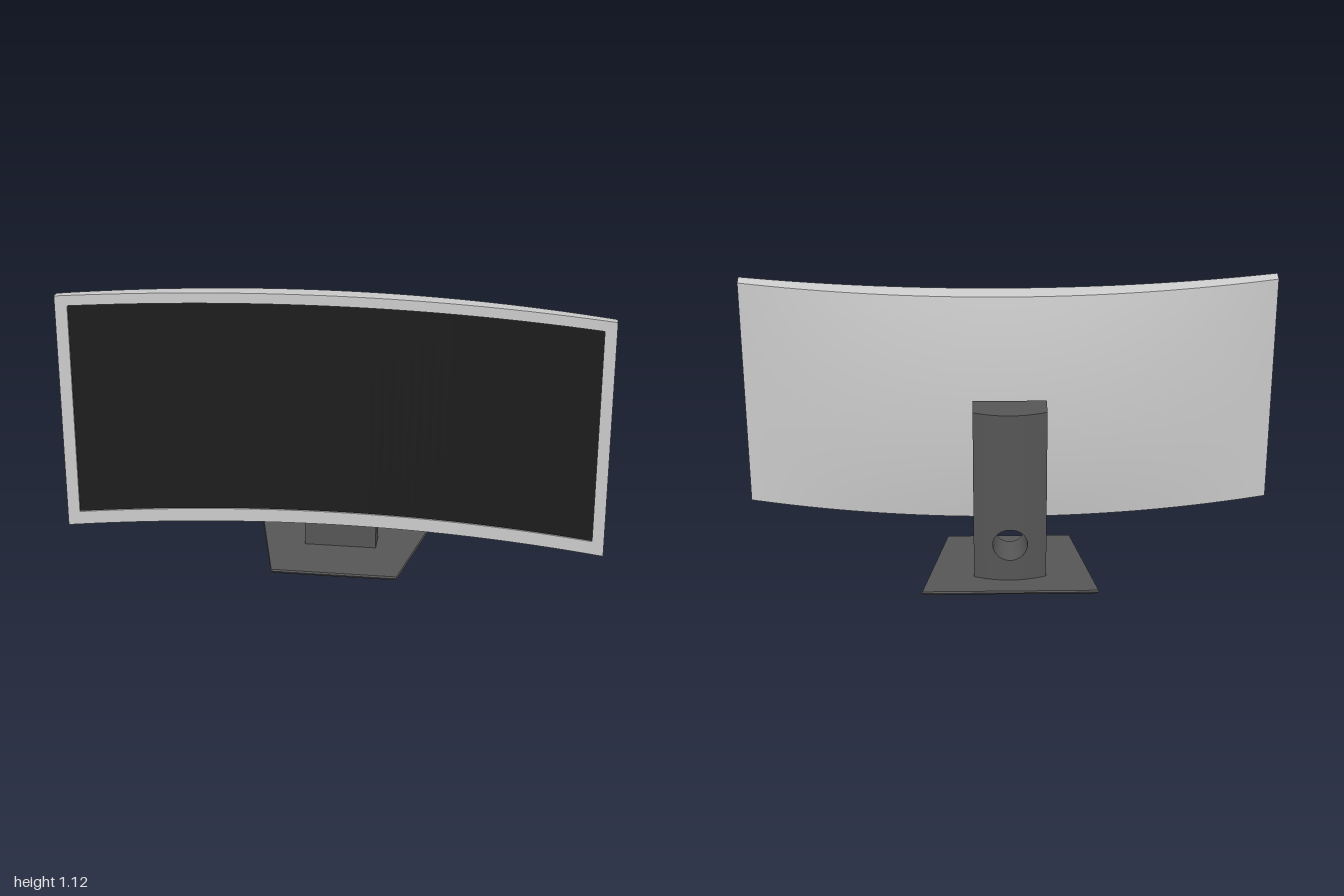
import * as THREE from 'three';
import { toCreasedNormals } from 'three/addons/utils/BufferGeometryUtils.js';

const grey = new THREE.MeshStandardMaterial({ color: 0xcccccc });
const dark = new THREE.MeshStandardMaterial({ color: 0x555555 });
const black = new THREE.MeshStandardMaterial({ color: 0x1c1c1c });

const Y0 = 0.19, Y1 = 1.12, MID = (Y0 + Y1) / 2, HALF = (Y1 - Y0) / 2;

// Curved display: front arc, and a back that bulges towards its centre
const frontZ = (x) => 0.105 + 0.12 * x * x;
const backZ = (x, y) => {
  const v = (y - MID) / HALF;
  return 0.037 + 0.146 * x * x - 0.037 * (1 - v * v) * (1 - x * x);
};

// Box bent so that its two large faces follow the given depth functions
function bentSlab(x0, x1, y0, y1, front, back, rows = 1, taper = 0) {
  const columns = Math.max(1, Math.round((x1 - x0) * 28));
  const geo = new THREE.BoxGeometry(x1 - x0, y1 - y0, 1, columns, rows, 1);
  geo.translate((x0 + x1) / 2, (y0 + y1) / 2, 0);
  const p = geo.attributes.position;
  for (let i = 0; i < p.count; i++) {
    const x = p.getX(i), y = p.getY(i);
    if (p.getZ(i) > 0) {
      p.setZ(i, front(x, y));
    } else {
      p.setZ(i, back(x, y));
      p.setY(i, MID + (y - MID) * (1 - taper));
    }
  }
  geo.computeVertexNormals();
  return geo;
}

// Skin over a list of rings, each with the same number of points
function loft(rings) {
  const n = rings[0].length;
  const index = [];
  for (let i = 0; i < rings.length - 1; i++) {
    for (let j = 0; j < n; j++) {
      const k = (j + 1) % n;
      const a = i * n + j, b = i * n + k, c = b + n, d = a + n;
      index.push(a, b, c, a, c, d);
    }
  }
  const geo = new THREE.BufferGeometry().setFromPoints(rings.flat());
  geo.setIndex(index);
  return toCreasedNormals(geo, 0.5);
}

// Column with a curved back and a flared cable hole
function columnGeometry() {
  const w = 0.137, bottom = 0.02, top = 0.725, holeY = 0.178;
  const corners = [[-w, bottom], [w, bottom], [w, top], [-w, top]];
  const edge = [];
  corners.forEach(([x, y], i) => {
    const [nx, ny] = corners[(i + 1) % 4];
    for (let s = 0; s < 20; s++) edge.push([x + (nx - x) * s / 20, y + (ny - y) * s / 20]);
  });
  const curve = (x) => -0.122 - 0.028 * (1 - (x / w) ** 2);
  // t = 0 at the hole rim, 1 at the outer edge
  const ring = (r, t, z) => edge.map(([x, y]) => {
    const a = Math.atan2(y - holeY, x);
    const px = THREE.MathUtils.lerp(r * Math.cos(a), x, t);
    const py = THREE.MathUtils.lerp(holeY + r * Math.sin(a), y, t);
    return new THREE.Vector3(px, py, z(px));
  });
  const front = () => -0.028;
  const rings = [ring(0, 1, curve), ring(0, 1, front), ring(0.055, 0, front)];
  for (let s = 0; s <= 12; s++) rings.push(ring(0.066, s / 12, curve));
  return loft(rings);
}

// Trapezoid foot with a bevelled underside
function baseGeometry() {
  const outline = [[0.24, 0.185], [0.335, -0.23], [-0.335, -0.23], [-0.24, 0.185]];
  const profile = [[0, 0], [0.9, 0], [0.95, 0.006], [1, 0.018], [0.99, 0.025], [0, 0.025]];
  return loft(profile.map(([s, y]) => outline.map(([x, z]) =>
    new THREE.Vector3(x * s, y, -0.02 + (z + 0.02) * s))));
}

export function createModel() {
  const model = new THREE.Group();
  const add = (parent, name, geo, mat) => {
    const mesh = new THREE.Mesh(geo, mat);
    mesh.name = name;
    parent.add(mesh);
    return mesh;
  };

  // Display housing, panel and bezel
  const display = new THREE.Group();
  display.name = 'display';
  model.add(display);
  const inner = (x) => frontZ(x) - 0.012;
  const panel = (x) => frontZ(x) - 0.006;
  const sx = 0.957, sy0 = 0.243, sy1 = 1.08;
  add(display, 'housing', bentSlab(-1, 1, Y0, Y1, inner, backZ, 24, 0.013), grey);
  add(display, 'screen', bentSlab(-sx, sx, sy0, sy1, panel, inner), black);
  add(display, 'bezelTop', bentSlab(-1, 1, sy1, Y1, frontZ, inner), grey);
  add(display, 'bezelBottom', bentSlab(-1, 1, Y0, sy0, frontZ, inner), grey);
  add(display, 'bezelLeft', bentSlab(sx, 1, sy0, sy1, frontZ, inner), grey);
  add(display, 'bezelRight', bentSlab(-1, -sx, sy0, sy1, frontZ, inner), grey);

  // Stand: foot, column and flared mount
  const stand = new THREE.Group();
  stand.name = 'stand';
  model.add(stand);
  add(stand, 'base', baseGeometry(), dark);
  add(stand, 'column', columnGeometry(), dark);
  const flare = [[0.062, -0.03], [0.053, -0.024], [0.047, -0.015], [0.045, 0.01]]
    .map(([r, h]) => new THREE.Vector2(r, h));
  const mount = add(stand, 'mount', new THREE.LatheGeometry(flare, 32), dark);
  mount.rotation.x = Math.PI / 2;
  mount.position.y = 0.608;

  return model;
}
